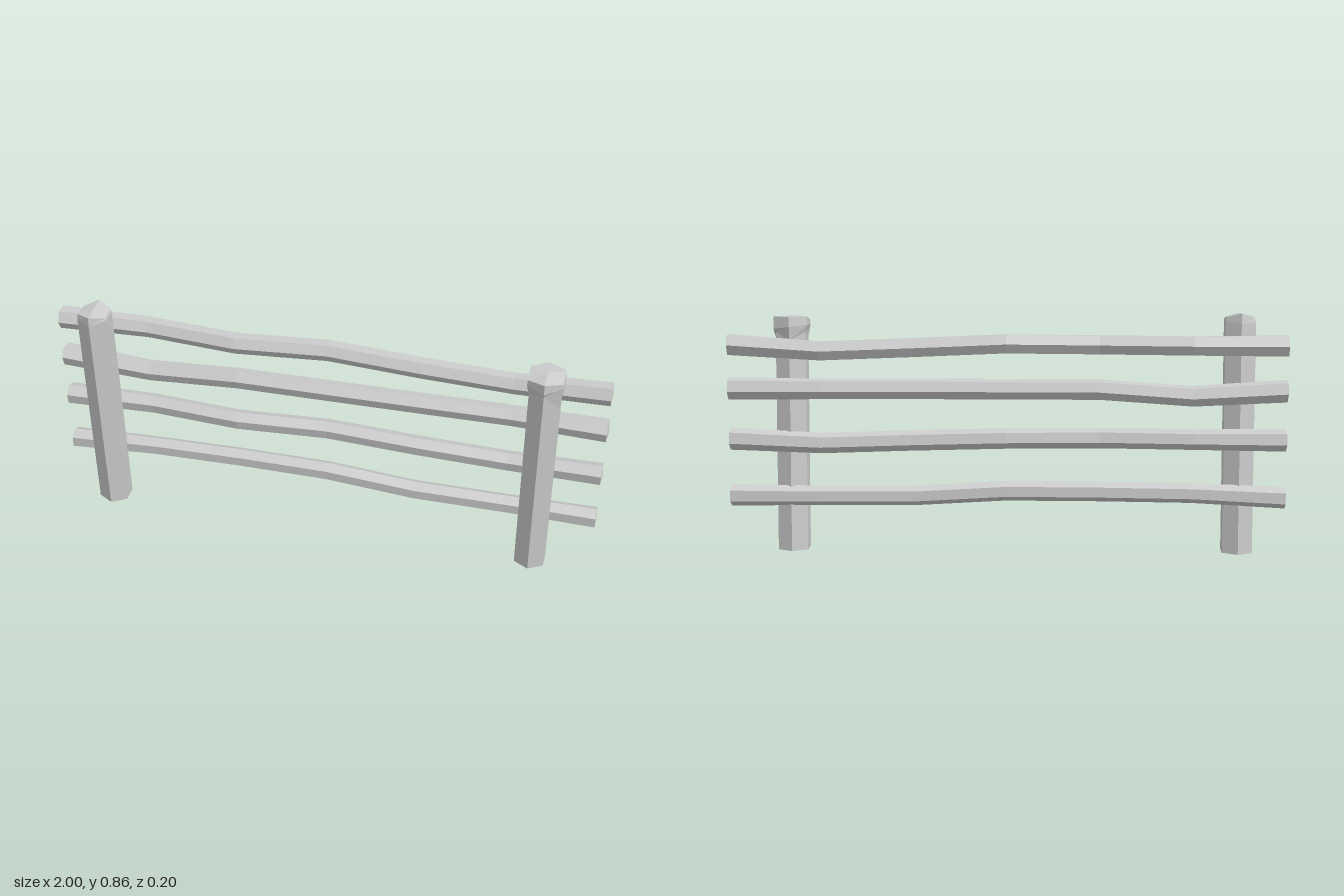
import * as THREE from 'three';

const SIDES = 6;
const material = new THREE.MeshStandardMaterial({ color: 0xcccccc, flatShading: true });

// Skin a list of six-point rings and close both ends with a fan to a centre point
function loft(name, rings, startTip, endTip) {
  const pos = [];
  const tri = (a, b, c) => pos.push(...a.toArray(), ...b.toArray(), ...c.toArray());
  const last = rings[rings.length - 1];
  for (let k = 0; k < SIDES; k++) {
    const n = (k + 1) % SIDES;
    for (let i = 0; i < rings.length - 1; i++) {
      const [a, b, c, d] = [rings[i][k], rings[i][n], rings[i + 1][n], rings[i + 1][k]];
      tri(a, b, c);
      tri(a, c, d);
    }
    tri(startTip, rings[0][n], rings[0][k]);
    tri(endTip, last[k], last[n]);
  }
  const geometry = new THREE.BufferGeometry();
  geometry.setAttribute('position', new THREE.Float32BufferAttribute(pos, 3));
  geometry.computeVertexNormals();
  const mesh = new THREE.Mesh(geometry, material);
  mesh.name = name;
  return mesh;
}

// Leaning post: each ring has a radius and either one height or one per corner
function makePost(name, x, ringSpecs, tipY) {
  const leanZ = (y) => -0.012 + 0.047 * y;
  const rings = ringSpecs.map(([radius, heights]) =>
    Array.from({ length: SIDES }, (_, k) => {
      const y = Array.isArray(heights) ? heights[k] : heights;
      const a = (k * Math.PI) / 3;
      return new THREE.Vector3(x + radius * Math.sin(a), y, leanZ(y) + radius * Math.cos(a));
    }));
  return loft(name, rings,
    new THREE.Vector3(x, 0, leanZ(0)), new THREE.Vector3(x, tipY, leanZ(tipY)));
}

// Crooked rail: evenly spaced hexagons following y and z offsets along x
function makeRail(name, { ys, zs, radius, turn, bulge }) {
  const xs = ys.map((_, i) => -0.993 + (i * 1.986) / (ys.length - 1));
  const rings = xs.map((x, i) =>
    Array.from({ length: SIDES }, (_, k) => {
      const a = turn + (k * Math.PI) / 3;
      const r = radius * (i === 0 || i === xs.length - 1 ? 1.03 : 0.94);
      return new THREE.Vector3(x, ys[i] + r * Math.cos(a), zs[i] + r * Math.sin(a));
    }));
  const n = xs.length - 1;
  return loft(name, rings,
    new THREE.Vector3(xs[0] - bulge, ys[0], zs[0]),
    new THREE.Vector3(xs[n] + bulge, ys[n], zs[n]));
}

export function createModel() {
  const group = new THREE.Group();
  group.name = 'fence';

  // Posts: a chipped, flared head on the left, a softly bevelled one on the right
  group.add(makePost('leftPost', 0.775, [
    [0.062, 0],
    [0.062, [0.79, 0.73, 0.79, 0.76, 0.79, 0.77]],
    [0.071, [0.8, 0.815, 0.8, 0.81, 0.815, 0.81]],
    [0.069, [0.84, 0.832, 0.845, 0.845, 0.845, 0.83]],
  ], 0.847));
  group.add(makePost('rightPost', -0.83, [
    [0.062, 0],
    [0.062, [0.82, 0.835, 0.83, 0.825, 0.83, 0.825]],
    [0.058, [0.854, 0.843, 0.847, 0.862, 0.845, 0.845]],
  ], 0.858));

  // Rails, from top to bottom
  const rails = [
    { ys: [0.75, 0.75, 0.75, 0.755, 0.74, 0.727, 0.747],
      zs: [-0.055, -0.066, -0.038, -0.064, -0.058, -0.06, -0.046],
      radius: 0.04, turn: 0.55, bulge: 0.004 },
    { ys: [0.59, 0.57, 0.592, 0.592, 0.592, 0.591, 0.59],
      zs: [-0.055, -0.054, -0.05, -0.052, -0.055, -0.061, -0.053],
      radius: 0.04, turn: 0.35, bulge: 0.007 },
    { ys: [0.414, 0.416, 0.416, 0.416, 0.406, 0.395, 0.407],
      zs: [-0.055, -0.063, -0.04, -0.062, -0.055, -0.058, -0.044],
      radius: 0.039, turn: 0.2, bulge: 0.004 },
    { ys: [0.207, 0.222, 0.226, 0.226, 0.205, 0.203, 0.203],
      zs: [-0.057, -0.06, -0.062, -0.06, -0.053, -0.056, -0.053],
      radius: 0.038, turn: 0.05, bulge: 0.002 },
  ];
  rails.forEach((rail, i) => group.add(makeRail(`rail${i + 1}`, rail)));

  return group;
}
